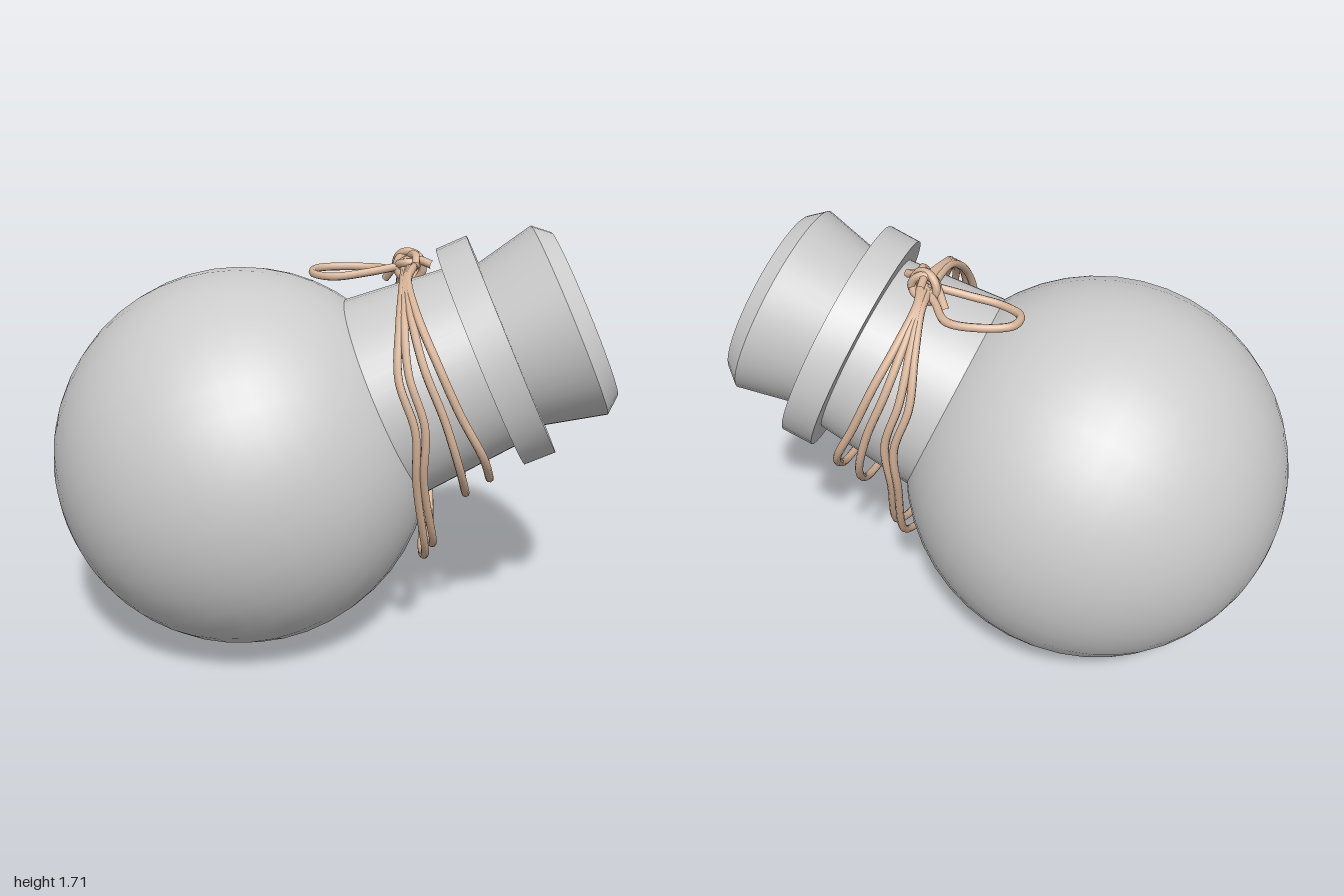
import * as THREE from 'three';
import { toCreasedNormals } from 'three/addons/utils/BufferGeometryUtils.js';

const grey = new THREE.MeshStandardMaterial({ color: 0xcccccc });
const twine = new THREE.MeshStandardMaterial({ color: 0xd8b59a });
const ROPE = 0.016;

function add(parent, name, geometry, material) {
  const mesh = new THREE.Mesh(geometry, material);
  mesh.name = name;
  parent.add(mesh);
  return mesh;
}

// Turned part with crisp rims; profile is [radius, height] from bottom to top
function turned(profile) {
  const points = profile.map(([r, y]) => new THREE.Vector2(r, y));
  return toCreasedNormals(new THREE.LatheGeometry(points, 40), 0.5);
}

function cord(points, closed, segments = 120) {
  const curve = new THREE.CatmullRomCurve3(points.map(p => new THREE.Vector3(...p)), closed);
  return new THREE.TubeGeometry(curve, segments, ROPE, 8, closed);
}

// Slack loop round the neck: y runs along the neck, z is its upper side
function neckLoop(side, low, bottom, depth, knotShift) {
  const half = [
    [0.15, 0.9 + knotShift * 0.5, 0.42],
    [0.33, (side + 0.9) / 2, 0.315],
    [0.42, side, 0.16],
    [0.44, side * 0.8 + low * 0.2, -0.04],
    [0.405, low, -0.24],
    [0.25, (low + bottom * 2) / 3, -0.24 - (depth - 0.24) * 0.78],
  ];
  const back = half.map(([x, y, z]) => [-x, y, z]).reverse();
  back[back.length - 1][0] = -0.2;
  return cord([[-0.06, 0.92 + knotShift, 0.43], ...half, [0, bottom, -depth], ...back], true);
}

export function createModel() {
  const model = new THREE.Group();
  model.name = 'corkedFlask';

  // Tilted frame: y along the neck, x sideways, z on the neck's upper side
  const flask = new THREE.Group();
  flask.name = 'flask';
  const axis = new THREE.Vector3(0.656, 0.417, -0.629).normalize();
  const side = new THREE.Vector3(-axis.z, 0, axis.x).normalize();
  const upper = new THREE.Vector3().crossVectors(side, axis);
  flask.quaternion.setFromRotationMatrix(new THREE.Matrix4().makeBasis(side, axis, upper));
  flask.position.set(-0.235, 0.767, 0.21);
  model.add(flask);

  // Round body, tapered neck, lip and chamfered cork
  add(flask, 'body', new THREE.SphereGeometry(0.767, 40, 24), grey);
  add(flask, 'neck', turned([[0.42, 0.63], [0.375, 1.06]]), grey);
  add(flask, 'lip', turned([[0.36, 1.045], [0.458, 1.045], [0.458, 1.172], [0.3, 1.172]]), grey);
  add(flask, 'cork', turned([[0.338, 1.15], [0.395, 1.41], [0.34, 1.472], [0, 1.472]]), grey);

  // Twine loops: two hang under the body, two stay round the neck
  const loops = [
    [0.76, 0.66, 0.506, 0.674, -0.02],
    [0.8, 0.69, 0.56, 0.635, 0],
    [0.86, 0.83, 0.78, 0.46, 0.01],
    [0.91, 0.925, 0.894, 0.435, 0.02],
  ];
  loops.forEach((values, i) => add(flask, 'twineLoop' + (i + 1), neckLoop(...values), twine));

  // Bow loop resting on the body
  add(model, 'bowLoop', cord([
    [0.2, 1.55, -0.31], [0.1, 1.52, -0.31], [-0.02, 1.505, -0.33], [-0.12, 1.505, -0.25],
    [-0.172, 1.505, -0.14], [-0.12, 1.5, -0.075], [-0.02, 1.5, -0.09],
    [0.08, 1.52, -0.18], [0.18, 1.55, -0.29],
  ], false, 80), twine);

  // Knot: interlocking rings and two short ends
  const knot = new THREE.Group();
  knot.name = 'knot';
  knot.position.set(0.185, 1.545, -0.305);
  model.add(knot);
  const rings = [
    [0.058, 0.15, 0.35, 0.2],
    [0.05, -0.25, 0.9, 0],
    [0.045, 1.2, 0.3, 0.3],
  ];
  rings.forEach(([radius, rx, ry, rz], i) => {
    const ring = add(knot, 'knotRing' + (i + 1), new THREE.TorusGeometry(radius, ROPE, 8, 28), twine);
    ring.rotation.set(rx, ry, rz);
  });
  add(knot, 'knotEnd1', cord([[-0.1, -0.06, 0.03], [-0.03, 0.01, 0.03], [0.04, 0.03, 0], [0.1, 0.015, -0.02]], false, 24), twine);
  add(knot, 'knotEnd2', cord([[-0.06, 0.03, -0.05], [0, 0.045, 0], [0.05, 0.05, 0.02], [0.08, 0.02, 0.05]], false, 24), twine);

  return model;
}
